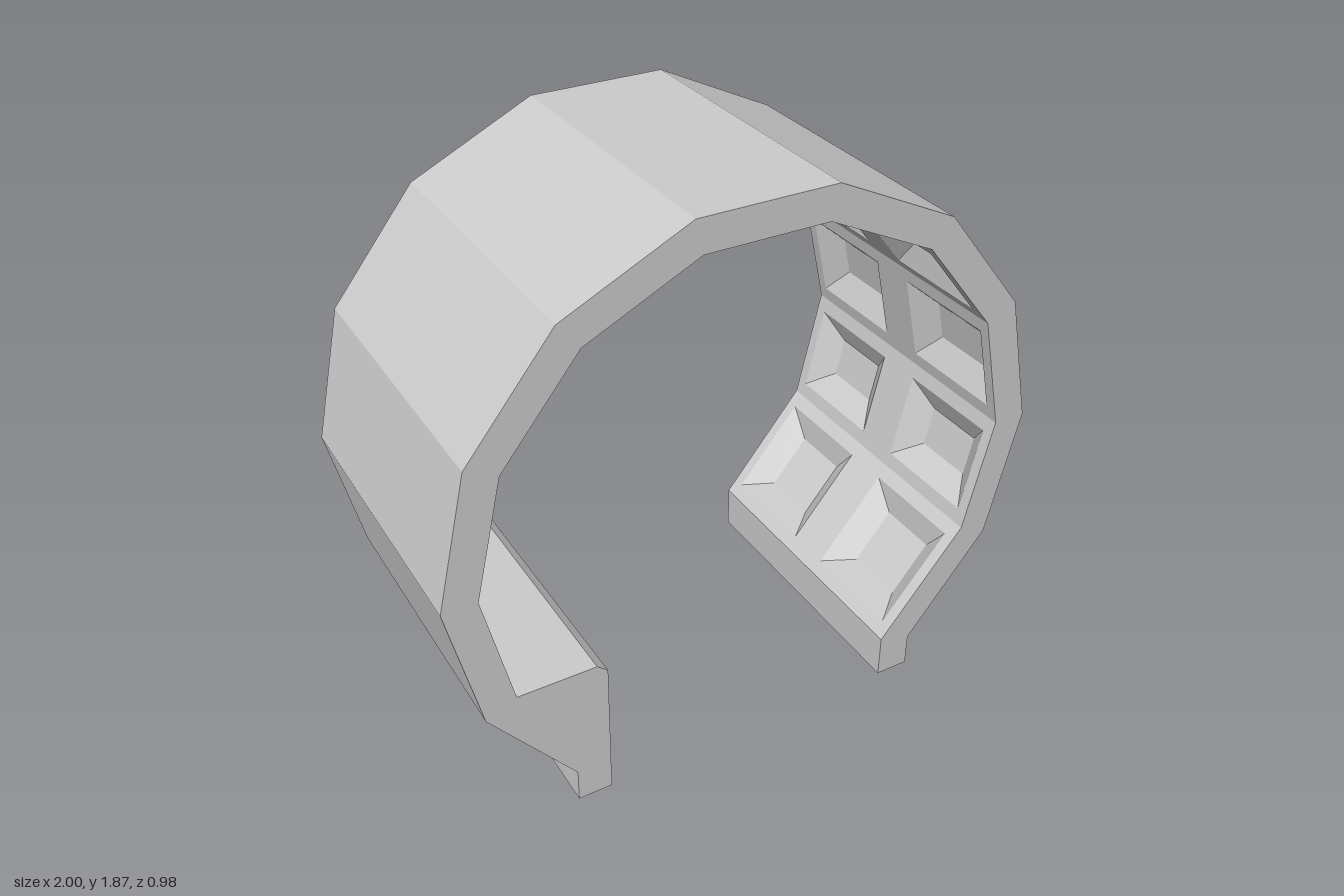
import * as THREE from 'three';
import { mergeGeometries } from 'three/addons/utils/BufferGeometryUtils.js';

const V = (x, y, z) => new THREE.Vector3(x, y, z);
const mat = new THREE.MeshStandardMaterial({ color: 0xcccccc, flatShading: true, side: THREE.DoubleSide });
const HALF = 0.49, CY = 0.896, DOOR = 0.13, BACK = -0.905, DOOR_TOP = 1.03;

function mesh(name, geometry) {
  const m = new THREE.Mesh(geometry, mat);
  m.name = name;
  return m;
}

// point on the fourteen-sided ring, as [x, y]
const ring = (r, k) => {
  const a = (k * Math.PI * 2) / 14;
  return [r * Math.cos(a), CY + r * Math.sin(a)];
};
const rect = (x0, x1, y0, y1) => [[x0, y0], [x1, y0], [x1, y1], [x0, y1]];
const toV2 = (pts) => pts.map(([x, y]) => new THREE.Vector2(x, y));

// flat polygon with optional holes
function flat(pts, holes = []) {
  const s = new THREE.Shape(toV2(pts));
  holes.forEach((h) => s.holes.push(new THREE.Path(toV2(h))));
  const g = new THREE.ShapeGeometry(s).toNonIndexed();
  g.deleteAttribute('uv');
  return g;
}

function quad(a, b, c, d) {
  const g = new THREE.BufferGeometry().setFromPoints([a, b, c, a, c, d]);
  g.computeVertexNormals();
  return g;
}

// sunken panel with sloping sides, below the plane z = 0
function recess([x0, x1, y0, y1], inset, depth) {
  const top = rect(x0, x1, y0, y1).map(([x, y]) => V(x, y, 0));
  const low = rect(x0 + inset, x1 - inset, y0 + inset, y1 - inset).map(([x, y]) => V(x, y, -depth));
  const out = [quad(...low)];
  for (let i = 0; i < 4; i++) {
    const j = (i + 1) % 4;
    out.push(quad(top[i], top[j], low[j], low[i]));
  }
  return out;
}

// one strip of the shell from p to q: local x runs along z, local y along the strip
function strip(p, q, outlines, panels, inset, depth) {
  const u = V(q[0] - p[0], q[1] - p[1], 0).normalize();
  const z = V(0, 0, 1);
  const m = new THREE.Matrix4().makeBasis(z, u, z.clone().cross(u)).setPosition(p[0], p[1], 0);
  const parts = [];
  outlines.forEach((o) => {
    const zs = o.map((c) => c[0]);
    const mine = panels.filter((b) => b[0] > Math.min(...zs) && b[1] < Math.max(...zs));
    parts.push(flat(o, mine.map((b) => rect(...b))));
  });
  panels.forEach((b) => parts.push(...recess(b, inset, depth)));
  return parts.map((g) => g.applyMatrix4(m));
}

function shell() {
  const inner = [], outer = [];
  for (let k = -1; k <= 8; k++) {
    inner.push(ring(0.89, k));
    outer.unshift(ring(1, k));
  }
  const [fx, fy] = ring(1, -2);
  const loop = [[0.51, 0], [0.51, 0.15], ...inner,
    [-0.545, inner[9][1]], [-0.51, 0.48], [-0.51, 0],
    [-fx, 0], [-fx, fy], ...outer, [fx, fy], [fx, 0]];

  const parts = [];
  loop.forEach((p, i) => {
    const q = loop[(i + 1) % loop.length];
    if (p[1] === 0 && q[1] === 0) return; // the feet are open underneath
    const L = Math.hypot(q[0] - p[0], q[1] - p[1]);
    let outlines = [rect(-HALF, HALF, 0, L)], panels = [], inset = 0.08, depth = 0.06;
    const pair = (z0, z1) => [[z0, z1, 0.05, L - 0.05], [-z1, -z0, 0.05, L - 0.05]];
    if (i >= 1 && i <= 8) panels = pair(0.08, 0.45);
    if (i === 9) {
      // strip notched for the top of the doorway
      const n = L - (DOOR_TOP - CY) / Math.cos(Math.PI / 14);
      outlines = [[[-HALF, 0], [HALF, 0], [HALF, L], [DOOR, L], [DOOR, n], [-DOOR, n], [-DOOR, L], [-HALF, L]]];
      panels = pair(0.135, 0.45);
    }
    if (i === 10) {
      // strip split by the doorway
      outlines = [rect(DOOR, HALF, 0, L), rect(-HALF, -DOOR, 0, L)];
      panels = pair(0.14, 0.45);
    }
    if (i === 13) {
      // cabinet front
      panels = [[-0.455, 0.455, 0.035, L - 0.035]];
      inset = 0.03;
      depth = 0.065;
    }
    parts.push(...strip(p, q, outlines, panels, inset, depth));
  });

  // end faces
  parts.push(flat(loop).translate(0, 0, HALF));
  parts.push(flat(loop.map(([x, y]) => [-x, y])).rotateY(Math.PI).translate(0, 0, -HALF));
  return mergeGeometries(parts);
}

// niche cut into the wall behind the door
function doorway() {
  const [bx, by] = ring(0.89, 8);
  const tx = -0.89 + (DOOR_TOP - CY) * Math.tan(Math.PI / 14);
  const side = [[BACK, by], [bx, by], [-0.89, CY], [tx, DOOR_TOP], [BACK, DOOR_TOP]];
  const across = (x0, y0, x1, y1) => quad(V(x0, y0, DOOR), V(x1, y1, DOOR), V(x1, y1, -DOOR), V(x0, y0, -DOOR));
  return mergeGeometries([
    flat(side).translate(0, 0, -DOOR),
    flat(side.map(([x, y]) => [-x, y])).rotateY(Math.PI).translate(0, 0, DOOR),
    across(BACK, by, bx, by),
    across(tx, DOOR_TOP, BACK, DOOR_TOP),
    across(BACK, DOOR_TOP, BACK, by),
  ]);
}

// plate with cut corners facing +x, with an optional hole
function plate(w, h, r, t, hole = 0) {
  const outline = (T, a, b, c) => {
    const s = new T();
    s.moveTo(-a + c, -b).lineTo(a - c, -b).lineTo(a, -b + c).lineTo(a, b - c);
    s.lineTo(a - c, b).lineTo(-a + c, b).lineTo(-a, b - c).lineTo(-a, -b + c).closePath();
    return s;
  };
  const s = outline(THREE.Shape, w / 2, h / 2, r);
  if (hole) s.holes.push(outline(THREE.Path, w / 2 - hole, h / 2 - hole, r * 0.6));
  return new THREE.ExtrudeGeometry(s, { depth: t, bevelEnabled: false }).rotateY(Math.PI / 2);
}

function door() {
  const g = new THREE.Group();
  g.name = 'door';
  const add = (name, geo, x, y, z) => {
    const m = mesh(name, geo);
    m.position.set(x, y, z);
    g.add(m);
  };
  add('doorLeaf', plate(0.24, 0.5, 0.03, 0.01), BACK, 0.77, 0);
  add('doorWindowFrame', plate(0.08, 0.1, 0.015, 0.005, 0.012), BACK + 0.01, 0.91, 0.02);
  add('doorHandle', new THREE.BoxGeometry(0.015, 0.02, 0.05), BACK + 0.017, 0.77, 0.085);
  for (const y of [0.62, 0.95]) {
    add('doorHinge', new THREE.CylinderGeometry(0.007, 0.007, 0.05, 8), BACK + 0.012, y, -0.118);
  }
  return g;
}

// square flared lamp hanging from a ring corner, built along -y
function lamp(k) {
  const g = new THREE.Group();
  g.name = 'lamp';
  const add = (name, top, bottom, h, y, open = false) => {
    const geo = new THREE.CylinderGeometry(top * Math.SQRT1_2, bottom * Math.SQRT1_2, h, 4, 1, open).rotateY(Math.PI / 4);
    const m = mesh(name, geo);
    m.position.y = y;
    g.add(m);
  };
  add('lampBase', 0.1, 0.09, 0.04, -0.005);
  add('lampNeck', 0.09, 0.05, 0.02, -0.035);
  add('lampShade', 0.05, 0.146, 0.033, -0.0615, true);
  add('lampBulb', 0.045, 0.03, 0.02, -0.055);
  const [x, y] = ring(0.89, k);
  g.position.set(x, y, 0);
  g.rotation.z = (k * Math.PI * 2) / 14 - Math.PI / 2;
  return g;
}

export function createModel() {
  const model = new THREE.Group();
  model.name = 'corridorSection';
  model.add(mesh('wallShell', shell()), mesh('doorway', doorway()), door(), lamp(2), lamp(5));
  return model;
}
